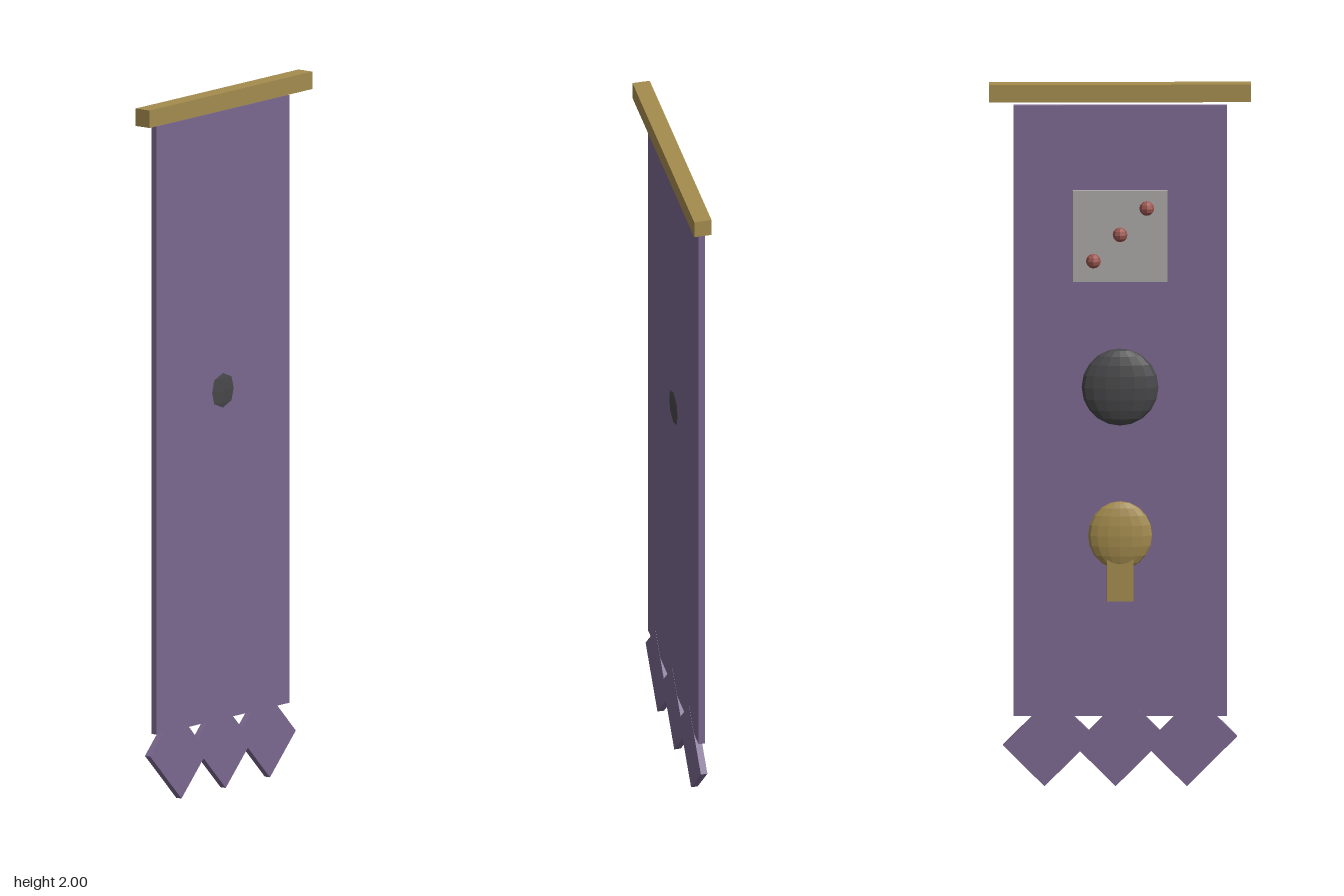
import * as THREE from 'three';

const material = (color) => new THREE.MeshStandardMaterial({ color, flatShading: true });

export function createModel() {
  const banner = new THREE.Group();
  banner.name = 'hangingBanner';

  const cloth = material(0x7a688f);
  const gold = material(0xa48c4e);
  const dark = material(0x48484a);
  const stone = material(0xaaa7a4);
  const red = material(0x9c5650);

  const add = (name, geometry, mat, x, y, z) => {
    const mesh = new THREE.Mesh(geometry, mat);
    mesh.name = name;
    mesh.position.set(x, y, z);
    banner.add(mesh);
    return mesh;
  };
  const box = (name, w, h, d, mat, x, y, z) =>
    add(name, new THREE.BoxGeometry(w, h, d), mat, x, y, z);
  const ellipsoid = (name, rx, ry, rz, mat, x, y, z, segments = 16, rings = 10) =>
    add(name, new THREE.SphereGeometry(1, segments, rings).scale(rx, ry, rz), mat, x, y, z);

  // Top rod and cloth panel
  box('topRod', 0.736, 0.05, 0.05, gold, 0, 1.975, 0.02);
  box('clothPanel', 0.6, 1.74, 0.018, cloth, 0, 1.07, 0.007);

  // Diamond tassels along the lower edge
  for (const x of [-0.2, 0, 0.2]) {
    const tassel = box('diamondTassel', 0.2, 0.165, 0.019, cloth, x, 0.129, 0.007);
    tassel.rotation.z = -Math.PI / 4;
  }

  // Plaque on the back with a diagonal row of studs
  box('plaque', 0.266, 0.26, 0.02, stone, 0, 1.57, -0.01);
  for (const i of [-1, 0, 1]) {
    ellipsoid('plaqueStud', 0.021, 0.021, 0.021, red, i * 0.075, 1.575 - i * 0.075, -0.02, 8, 6);
  }

  // Dark boss, pushed through the cloth so its tip shows in front
  ellipsoid('darkBoss', 0.108, 0.11, 0.033, dark, 0, 1.14, -0.013);

  // Gold oval with a stem
  ellipsoid('goldOval', 0.09, 0.097, 0.025, gold, 0, 0.717, -0.011);
  box('goldStem', 0.075, 0.12, 0.026, gold, 0, 0.59, -0.012);

  return banner;
}
